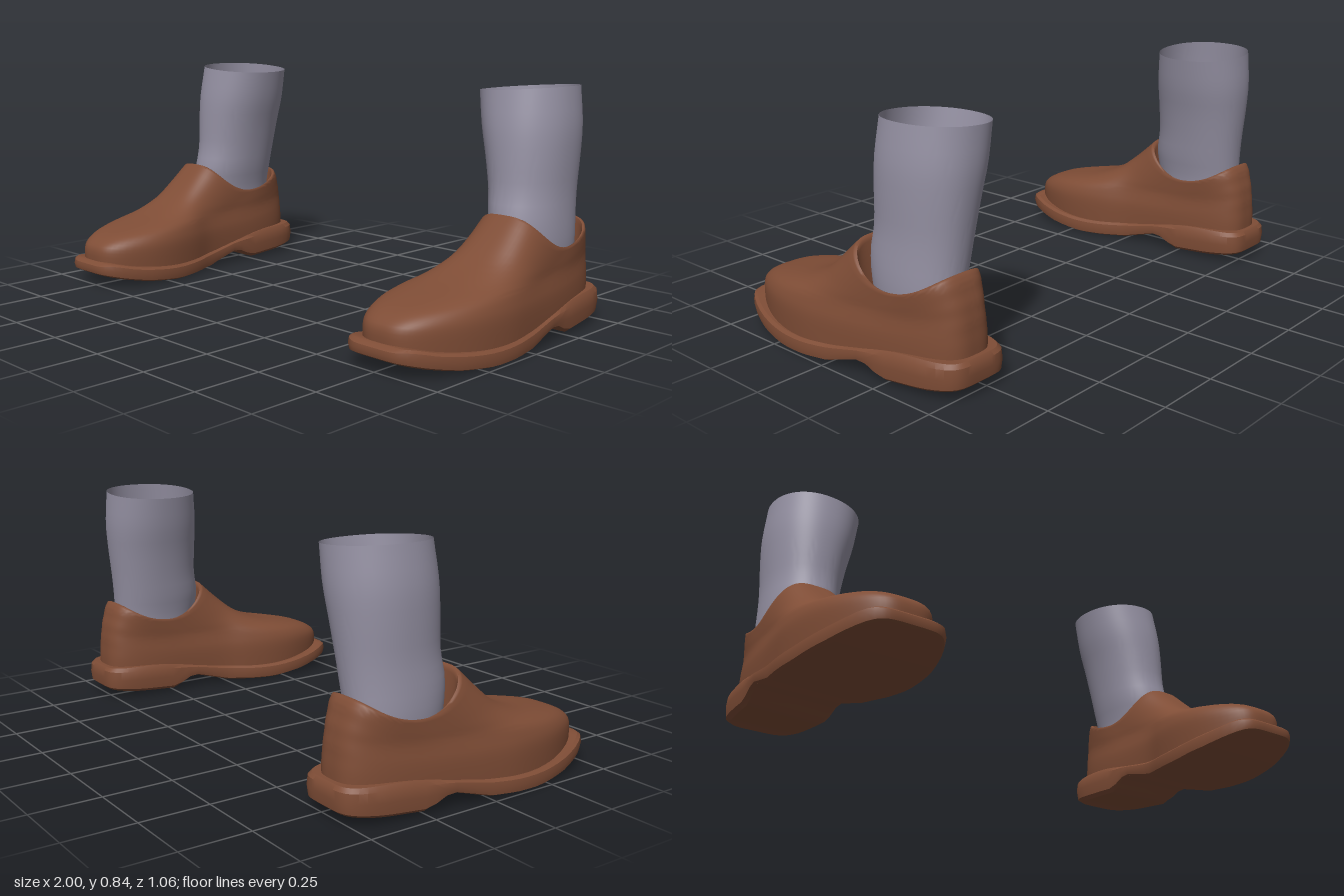
import * as THREE from 'three';
import { toCreasedNormals } from 'three/addons/utils/BufferGeometryUtils.js';

const N = 96; // points round every cross-section ring

// Smooth or straight interpolation through rows of [key, value, value, ...]
function lookup(rows, Type = THREE.CubicInterpolant) {
  const size = rows[0].length - 1;
  const f = new Type(rows.map(r => r[0]), rows.flatMap(r => r.slice(1)), size, new Array(size).fill(0));
  return t => Array.from(f.evaluate(t));
}

// Rounded-box ring in plan: w runs back to front, v runs inner to outer side
function ring(power, place) {
  return Array.from({ length: N }, (_, i) => {
    const a = (i / N) * Math.PI * 2, c = Math.cos(a), s = Math.sin(a);
    const r = (Math.abs(c) ** power + Math.abs(s) ** power) ** (-1 / power);
    return place(c * r, s * r);
  });
}

// Skin a stack of rings, optionally closing the first and last, for one side
function loft(rings, side, { capStart = false, capEnd = false, crease = 0.8 } = {}) {
  const index = [];
  const tri = (a, b, c) => {
    if (a !== b && b !== c && a !== c) index.push(...(side > 0 ? [a, b, c] : [a, c, b]));
  };
  for (let j = 0; j < rings.length - 1; j++) {
    for (let i = 0; i < N; i++) {
      const a = j * N + i, b = j * N + (i + 1) % N;
      tri(a, b, b + N);
      tri(a, b + N, a + N);
    }
  }
  const cap = (o, up) => {
    for (let i = 0; i < N / 2; i++) {
      const a = o + i, b = o + i + 1, c = o + N - i - 1, d = o + (N - i) % N;
      if (up) { tri(a, b, c); tri(a, c, d); } else { tri(a, c, b); tri(a, d, c); }
    }
  };
  if (capStart) cap(0, false);
  if (capEnd) cap((rings.length - 1) * N, true);
  const geo = new THREE.BufferGeometry();
  const points = rings.flat().flatMap(([x, y, z]) => [x * side, y, z]);
  geo.setAttribute('position', new THREE.Float32BufferAttribute(points, 3));
  geo.setIndex(index);
  return toCreasedNormals(geo, crease);
}

// Shoe plan: z, centre x, half width
const plan = lookup([
  [-0.53, 0.795, 0.155], [-0.3, 0.803, 0.158], [-0.1, 0.81, 0.168], [0, 0.81, 0.18], [0.1, 0.8, 0.2],
  [0.2, 0.789, 0.208], [0.3, 0.78, 0.204], [0.4, 0.773, 0.188], [0.53, 0.765, 0.162],
]);
// Sole heights along z; the underside steps down at the heel
const soleTop = lookup([
  [-0.53, 0.125], [-0.3, 0.12], [-0.15, 0.095], [0, 0.07], [0.2, 0.06], [0.4, 0.08], [0.5, 0.1], [0.53, 0.095],
]);
const soleBottom = lookup([
  [-0.53, 0.035], [-0.4, 0.02], [-0.24, 0.01], [-0.16, 0.055], [0, 0.01], [0.1, 0.003], [0.2, 0],
  [0.35, 0.015], [0.45, 0.035], [0.53, 0.055],
], THREE.LinearInterpolant);

function soleGeometry(side) {
  // share of height, inset
  const rows = [[0, 0.02], [0.12, 0.004], [0.5, 0], [0.85, 0.003], [1, 0.014]];
  const rings = rows.map(([h, inset]) => ring(5, (w, v) => {
    const z = w * (0.53 - inset), [cx, hw] = plan(z);
    const y = THREE.MathUtils.lerp(soleBottom(z)[0], soleTop(z)[0], h);
    return [cx + (hw - inset) * v, y, z];
  }));
  return loft(rings, side, { capStart: true, capEnd: true, crease: 0.6 });
}

function upperGeometry(side) {
  // step, front z, back z, width scale, front y, side y, back y
  const outer = [
    [0, 0.5, -0.5, 0.92, 0.08, 0.045, 0.11],
    [1, 0.5, -0.5, 0.93, 0.135, 0.12, 0.16],
    [2, 0.482, -0.497, 0.92, 0.165, 0.16, 0.2],
    [3, 0.43, -0.495, 0.89, 0.192, 0.19, 0.23],
    [4, 0.34, -0.49, 0.865, 0.213, 0.212, 0.26],
    [5, 0.21, -0.485, 0.85, 0.241, 0.232, 0.29],
    [6, 0.1, -0.475, 0.85, 0.286, 0.256, 0.32],
    [7, 0.02, -0.466, 0.85, 0.348, 0.28, 0.35],
    [8, -0.055, -0.452, 0.85, 0.417, 0.302, 0.372],
  ];
  const at = lookup(outer);
  const rows = Array.from({ length: 25 }, (_, i) => at(i / 3));
  // rolled collar, lining and insole
  rows.push(
    [-0.062, -0.446, 0.835, 0.423, 0.306, 0.376],
    [-0.071, -0.438, 0.81, 0.42, 0.304, 0.374],
    [-0.076, -0.434, 0.795, 0.405, 0.292, 0.36],
    [-0.08, -0.43, 0.79, 0.13, 0.13, 0.13],
  );
  const rings = rows.map(([zf, zb, scale, yf, ym, yb]) => ring(3.2, (w, v) => {
    const z = (zf + zb) / 2 + w * (zf - zb) / 2, [cx, hw] = plan(z);
    return [cx + hw * scale * v, ym + ((w > 0 ? yf : yb) - ym) * w * w, z];
  }));
  return loft(rings, side, { capEnd: true, crease: 1 });
}

function sockGeometry(side) {
  // y, inner x, outer x, front z, back z
  const at = lookup([
    [0.22, 0.69, 0.91, -0.1, -0.425], [0.32, 0.682, 0.917, -0.085, -0.432], [0.4, 0.665, 0.915, -0.08, -0.438],
    [0.48, 0.652, 0.912, -0.095, -0.446], [0.6, 0.628, 0.917, -0.099, -0.46], [0.7, 0.603, 0.919, -0.103, -0.469],
    [0.83, 0.579, 0.907, -0.12, -0.466],
  ]);
  const rings = Array.from({ length: 17 }, (_, i) => {
    const t = i / 16, y = 0.22 + 0.61 * t, [xi, xo, zf, zb] = at(y);
    // the top hem tilts up towards the outside
    return ring(2.15, (w, v) => [(xi + xo) / 2 + v * (xo - xi) / 2, y + 0.012 * v * t ** 4, (zf + zb) / 2 + w * (zf - zb) / 2]);
  });
  return loft(rings, side, { crease: 1 });
}

export function createModel() {
  const leather = new THREE.MeshStandardMaterial({ name: 'brown leather', color: 0x7f4d36 });
  const wool = new THREE.MeshStandardMaterial({ name: 'grey wool', color: 0x9692a4, side: THREE.DoubleSide });
  const model = new THREE.Group();
  model.name = 'shoesAndSocks';
  for (const [side, label] of [[1, 'left'], [-1, 'right']]) {
    const foot = new THREE.Group();
    foot.name = label + 'Foot';
    const parts = [['Sole', soleGeometry, leather], ['Upper', upperGeometry, leather], ['Sock', sockGeometry, wool]];
    for (const [name, build, material] of parts) {
      const mesh = new THREE.Mesh(build(side), material);
      mesh.name = label + name;
      foot.add(mesh);
    }
    model.add(foot);
  }
  return model;
}
